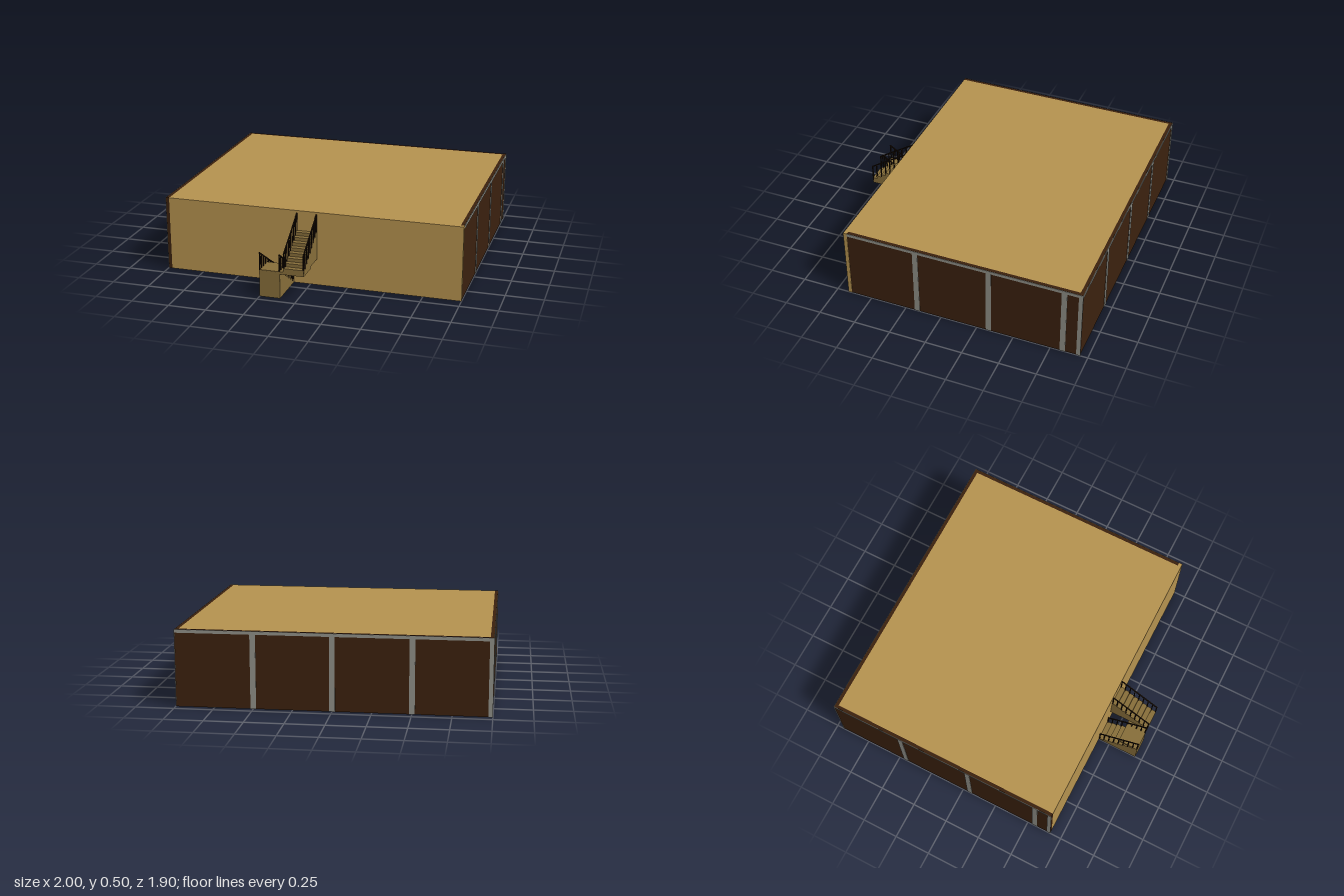
import * as THREE from 'three';

const material = (name, color) => {
  const m = new THREE.MeshStandardMaterial({ color });
  m.name = name;
  return m;
};

export function createModel() {
  const model = new THREE.Group();
  model.name = 'building';
  const tan = material('tan timber', 0xb5924f);
  const brown = material('dark brown panel', 0x3b210e);
  const grey = material('grey frame', 0x8f8f87);
  const stair = material('stair timber', 0x876e3a);
  const black = material('dark railing', 0x1c1006);

  // Box given by its minimum and maximum corners
  const box = (name, mat, x0, x1, y0, y1, z0, z1, parent = model) => {
    const mesh = new THREE.Mesh(new THREE.BoxGeometry(x1 - x0, y1 - y0, z1 - z0), mat);
    mesh.position.set((x0 + x1) / 2, (y0 + y1) / 2, (z0 + z1) / 2);
    mesh.name = name;
    parent.add(mesh);
    return mesh;
  };

  // Shell, open underneath
  const H = 0.5, back = -0.95, front = 0.67, t = 0.025, skin = 0.003;
  box('frontWall', tan, -1 + t, 1, 0, H, front - t, front);
  box('roof', tan, -1 + t, 1 - t, H - 0.02, H, back + t, front - t);
  box('backWall', brown, -1 + skin, 1 - skin, 0, H, back + skin, back + t);
  box('leftWall', brown, 1 - t, 1 - skin, 0, H, back + t, front - t);
  box('rightWall', brown, -1 + skin, -1 + t, 0, H, back + t, front);

  // Thin frame on a wall: posts every half unit, an end post and a top bar.
  // Local x runs along the wall, local z points outward.
  const frame = (name, length, postStart, x, z, turn) => {
    const g = new THREE.Group();
    g.name = name;
    box('topBar', grey, 0, length, H - 0.022, H - 0.001, -skin, 0, g);
    for (let d = postStart; d < length - 0.05; d += 0.5) {
      box('post', grey, d - 0.018, d + 0.018, 0, H - 0.022, -skin, 0, g);
    }
    box('endPost', grey, length - 0.028, length, 0, H - 0.022, -skin, 0, g);
    g.position.set(x, 0, z);
    g.rotation.y = turn;
    model.add(g);
  };
  frame('leftFrame', 1.595, 0.475, 1, front - t, Math.PI / 2);
  frame('backFrame', 2, 0.5, 1, back, Math.PI);
  frame('rightFrame', 1.62, 0.5, -1, back, -Math.PI / 2);

  // Two parallel flights of eight steps joined by a landing
  const steps = 8, run = 0.28 / steps, rise = 0.0225, far = 0.95;

  // Stepped side profile extruded across the flight; dir +1 climbs away from the wall
  const flight = (name, x0, x1, base, firstTread, dir) => {
    const g = new THREE.Group();
    g.name = name;
    const zAt = (i) => (dir > 0 ? front + i * run : far - i * run);
    const shape = new THREE.Shape();
    shape.moveTo(-zAt(0), base);
    for (let i = 0; i < steps; i++) {
      const y = firstTread + i * rise;
      shape.lineTo(-zAt(i), y);
      shape.lineTo(-zAt(i + 1), y);
    }
    shape.lineTo(-zAt(steps), base);
    shape.closePath();
    const geo = new THREE.ExtrudeGeometry(shape, { depth: x1 - x0, bevelEnabled: false });
    geo.rotateY(Math.PI / 2);
    const body = new THREE.Mesh(geo, stair);
    body.position.x = x0;
    body.name = 'steps';
    g.add(body);

    // Railings on both sides
    const w = 0.0035, railLow = firstTread + 0.095, railHigh = railLow + steps * rise;
    for (const x of [x0 + w, x1 - w]) {
      for (let i = 0; i < steps; i++) {
        const z = zAt(i + (i === 0 ? 0.1 : 0));
        const top = railLow + (i / steps) * (railHigh - railLow);
        box('baluster', black, x - w, x + w, firstTread + (i - 1) * rise, top, z - w, z + w, g);
      }
      const zEnd = zAt(steps - 0.1);
      box('baluster', black, x - w, x + w, firstTread + (steps - 1) * rise, railHigh, zEnd - w, zEnd + w, g);
      const dz = zAt(steps) - zAt(0), dy = railHigh - railLow;
      const rail = new THREE.Mesh(new THREE.BoxGeometry(0.007, 0.007, Math.hypot(dz, dy)), black);
      rail.position.set(x, (railLow + railHigh) / 2, (front + far) / 2);
      rail.rotation.x = -Math.atan2(dy, dz);
      rail.name = 'handrail';
      g.add(rail);
    }
    model.add(g);
  };
  flight('lowerFlight', -0.25, -0.113, 0, rise, 1);
  flight('upperFlight', -0.09, 0.047, 0.182, 0.2075, -1);
  box('landing', stair, -0.249, 0.046, 0.165, 0.183, 0.81, 0.949);

  return model;
}
